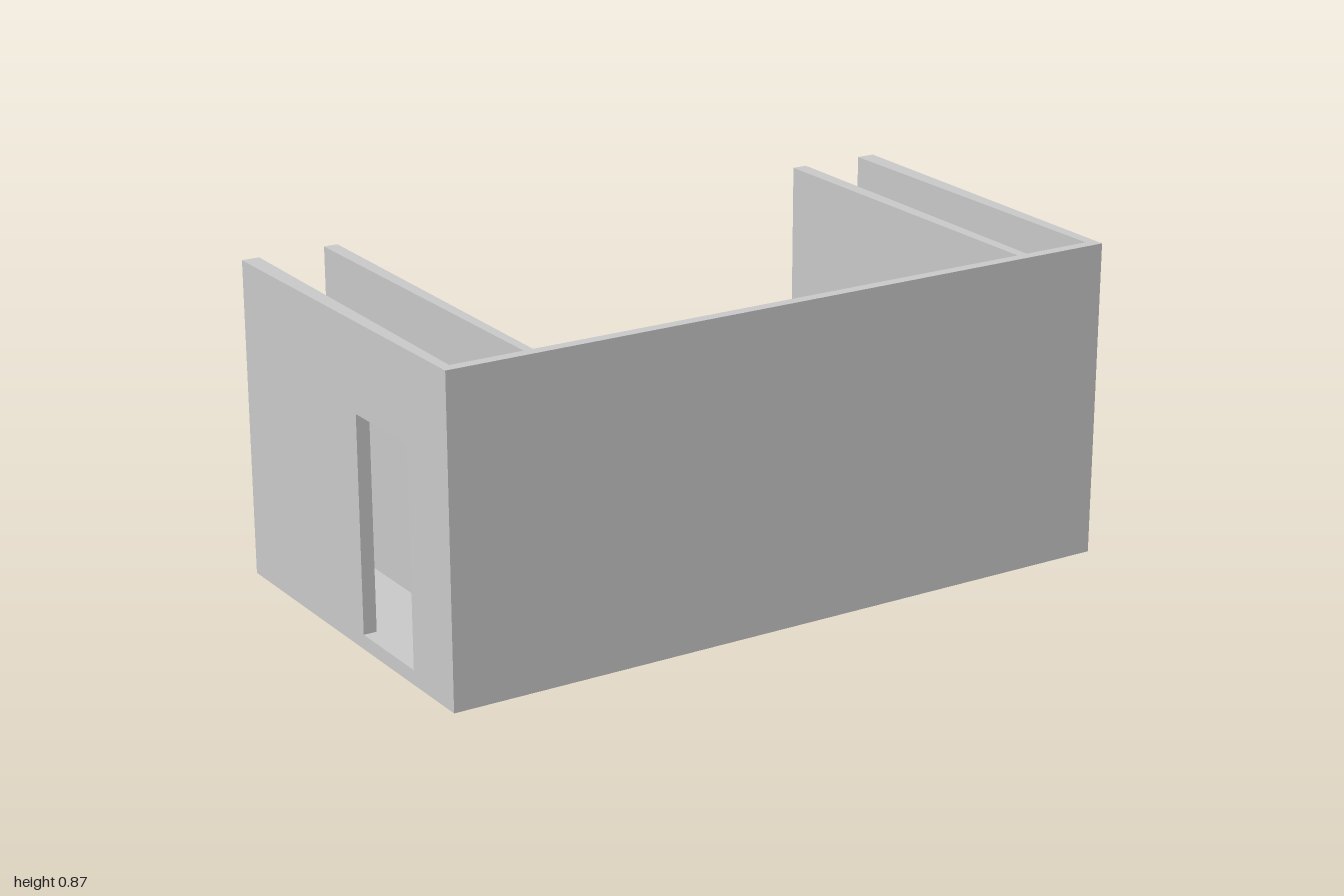
import * as THREE from 'three';

const BACK = -0.533, FRONT = 0.533, INNER = 0.502; // z of back edge, front face, inside of front wall
const FLOOR = 0.04, TOP = 0.872;
const DOOR = { back: 0.075, front: 0.335, top: 0.63 };

// Outer faces taper slightly from back to front.
const taper = (atBack, atFront, z) =>
  THREE.MathUtils.mapLinear(z, BACK, FRONT, atBack, atFront);
const outerX = (z) => taper(1, 0.978, z);
const dividerX = (z) => taper(0.765, 0.751, z);

export function createModel() {
  const model = new THREE.Group();
  model.name = 'openBackedRoom';
  const material = new THREE.MeshStandardMaterial({ color: 0xcccccc, flatShading: true });

  // Vertical prism from a plan outline of [x, z] corners.
  function prism(name, plan, y0, y1, parent = model) {
    const shape = new THREE.Shape(plan.map(([x, z]) => new THREE.Vector2(x, -z)));
    const geometry = new THREE.ExtrudeGeometry(shape, { depth: y1 - y0, bevelEnabled: false });
    geometry.rotateX(-Math.PI / 2).translate(0, y0, 0);
    const mesh = new THREE.Mesh(geometry, material);
    mesh.name = name;
    parent.add(mesh);
  }

  // Plan of a wall with a straight inside face and a tapered outside face.
  const wallPlan = (side, inside, outside, z0, z1) => [
    [side * inside, z0], [side * outside(z0), z0],
    [side * outside(z1), z1], [side * inside, z1],
  ];

  // Floor slab and front wall
  prism('floor', [
    [-outerX(BACK), BACK], [outerX(BACK), BACK],
    [outerX(FRONT), FRONT], [-outerX(FRONT), FRONT],
  ], 0, FLOOR);
  prism('frontWall', [
    [-outerX(INNER), INNER], [outerX(INNER), INNER],
    [outerX(FRONT), FRONT], [-outerX(FRONT), FRONT],
  ], FLOOR, TOP);

  // Inner dividers
  prism('leftDivider', wallPlan(1, 0.722, dividerX, BACK, INNER), FLOOR, TOP);
  prism('rightDivider', wallPlan(-1, 0.726, dividerX, BACK, INNER), FLOOR, TOP);

  // Outer side walls; the right one has a doorway
  prism('leftWall', wallPlan(1, 0.948, outerX, BACK, INNER), FLOOR, TOP);
  const rightWall = new THREE.Group();
  rightWall.name = 'rightWall';
  model.add(rightWall);
  const piece = (name, z0, z1, y0) =>
    prism(name, wallPlan(-1, 0.951, outerX, z0, z1), y0, TOP, rightWall);
  piece('wallBehindDoorway', BACK, DOOR.back, FLOOR);
  piece('wallAheadOfDoorway', DOOR.front, INNER, FLOOR);
  piece('doorwayLintel', DOOR.back, DOOR.front, DOOR.top);

  return model;
}
